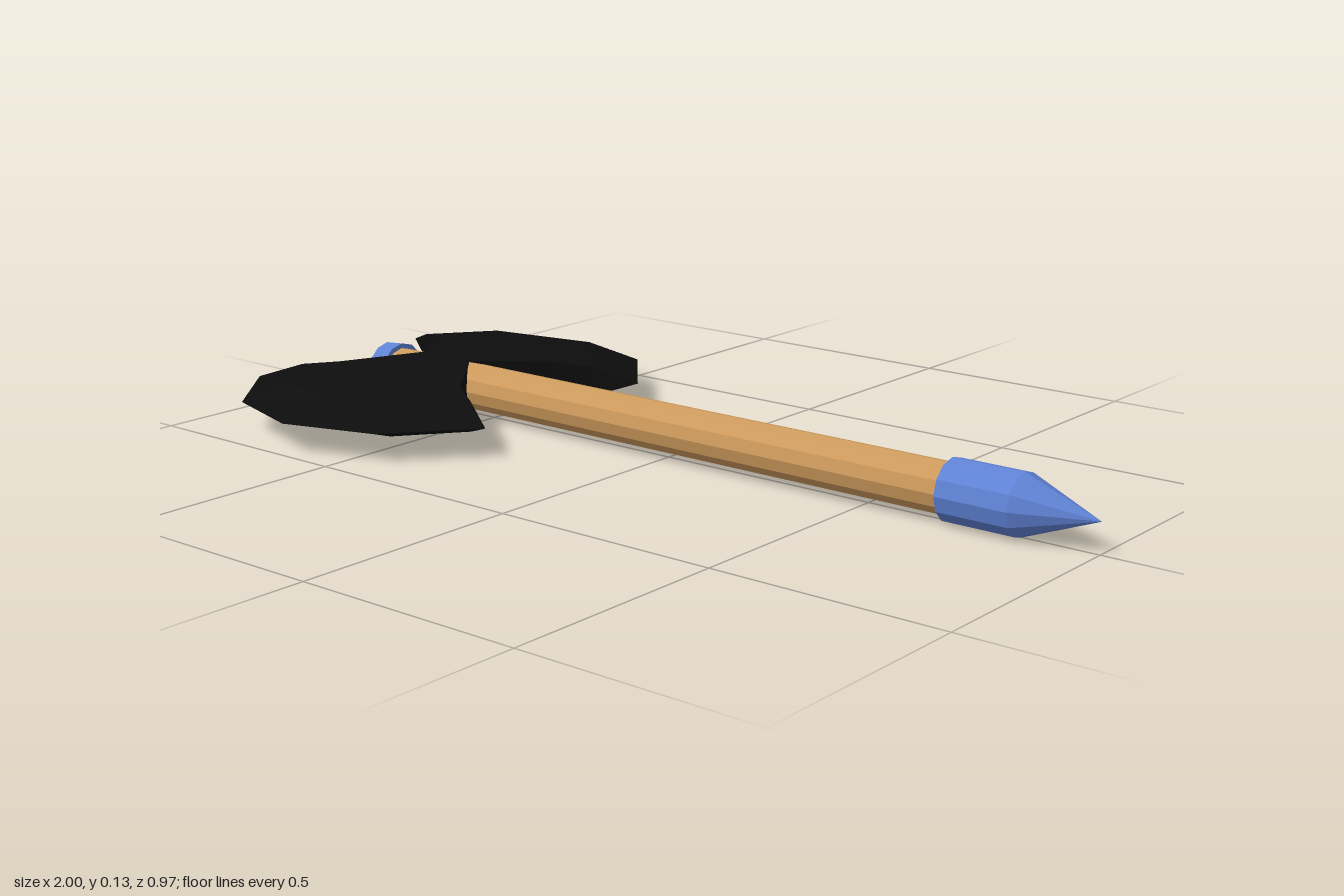
import * as THREE from 'three';

const AXIS_Y = 0.066;   // height of the shaft axis
const HEAD_X = -0.645;  // centre of the axe head along the shaft

function material(name, color) {
  const m = new THREE.MeshStandardMaterial({ color });
  m.name = name;
  return m;
}

// Faceted solid turned around the shaft axis; profile is [x, radius] from the head end to the tip
function turned(name, profile, mat, sides = 12) {
  const points = profile.map(([x, r]) => new THREE.Vector2(r, x));
  const geo = new THREE.LatheGeometry(points, sides).toNonIndexed();
  geo.rotateZ(-Math.PI / 2);
  geo.computeVertexNormals();
  const mesh = new THREE.Mesh(geo, mat);
  mesh.name = name;
  return mesh;
}

// One flared blade pointing to +z, thick at the shaft and sharp along the outer edge
function bladeGeometry() {
  // Half outlines (x, half thickness, z); mirrored in x and y
  const root = [0.07, 0.055, 0], neck = [0.19, 0.042, 0.15];
  const ridge = [[0.265, 0.033, 0.195], [0.16, 0.033, 0.33], [0, 0.031, 0.365]];
  const edge = [[0.355, 0, 0.245], [0.205, 0, 0.422], [0, 0, 0.485]];
  const pos = [];
  const quad = (a, b, c, d) => pos.push(...a, ...b, ...c, ...a, ...c, ...d);
  const flipX = ([x, y, z]) => [-x, y, z];
  const flipY = ([x, y, z]) => [x, -y, z];

  for (const sy of [1, -1]) {
    // Broad faces
    const put = (a, b, c, d) => {
      const q = [a, b, c, d];
      quad(...(sy > 0 ? q : q.map(flipY).reverse()));
    };
    const rows = [root, neck, ...ridge];
    for (let i = 0; i < rows.length - 1; i++) {
      put(flipX(rows[i]), flipX(rows[i + 1]), rows[i + 1], rows[i]);
    }
    // Sharpened bevel
    for (let i = 0; i < 2; i++) {
      put(ridge[i], ridge[i + 1], edge[i + 1], edge[i]);
      put(...[edge[i], edge[i + 1], ridge[i + 1], ridge[i]].map(flipX));
    }
  }
  // Side walls running from the shaft out to the horns
  const side = [root, neck, ridge[0], edge[0]];
  for (let i = 0; i < 3; i++) {
    const wall = [side[i], side[i + 1], flipY(side[i + 1]), flipY(side[i])];
    quad(...wall);
    quad(...wall.map(flipX).reverse());
  }
  const geo = new THREE.BufferGeometry();
  geo.setAttribute('position', new THREE.Float32BufferAttribute(pos, 3));
  geo.computeVertexNormals();
  return geo;
}

export function createModel() {
  const wood = material('wood', 0xcd9a5c);
  const blue = material('blue metal', 0x5f82d4);
  const black = material('black metal', 0x0d0d0d);

  const axe = new THREE.Group();
  axe.name = 'doubleAxe';
  axe.position.y = AXIS_Y;

  axe.add(turned('shaft', [[-0.8, 0], [-0.8, 0.052], [0.69, 0.052], [0.69, 0]], wood));
  axe.add(turned('spike', [[0.685, 0], [0.685, 0.063], [0.84, 0.063], [1, 0]], blue));
  axe.add(turned('pommel',
    [[-0.855, 0], [-0.853, 0.045], [-0.838, 0.059], [-0.79, 0.063], [-0.79, 0]], blue));

  // Twin blades, opposite each other
  const head = new THREE.Group();
  head.name = 'axeHead';
  head.position.x = HEAD_X;
  const geo = bladeGeometry();
  ['frontBlade', 'backBlade'].forEach((name, i) => {
    const blade = new THREE.Mesh(geo, black);
    blade.name = name;
    blade.rotation.y = i * Math.PI;
    head.add(blade);
  });
  axe.add(head);

  const model = new THREE.Group();
  model.name = 'model';
  model.add(axe);
  return model;
}
